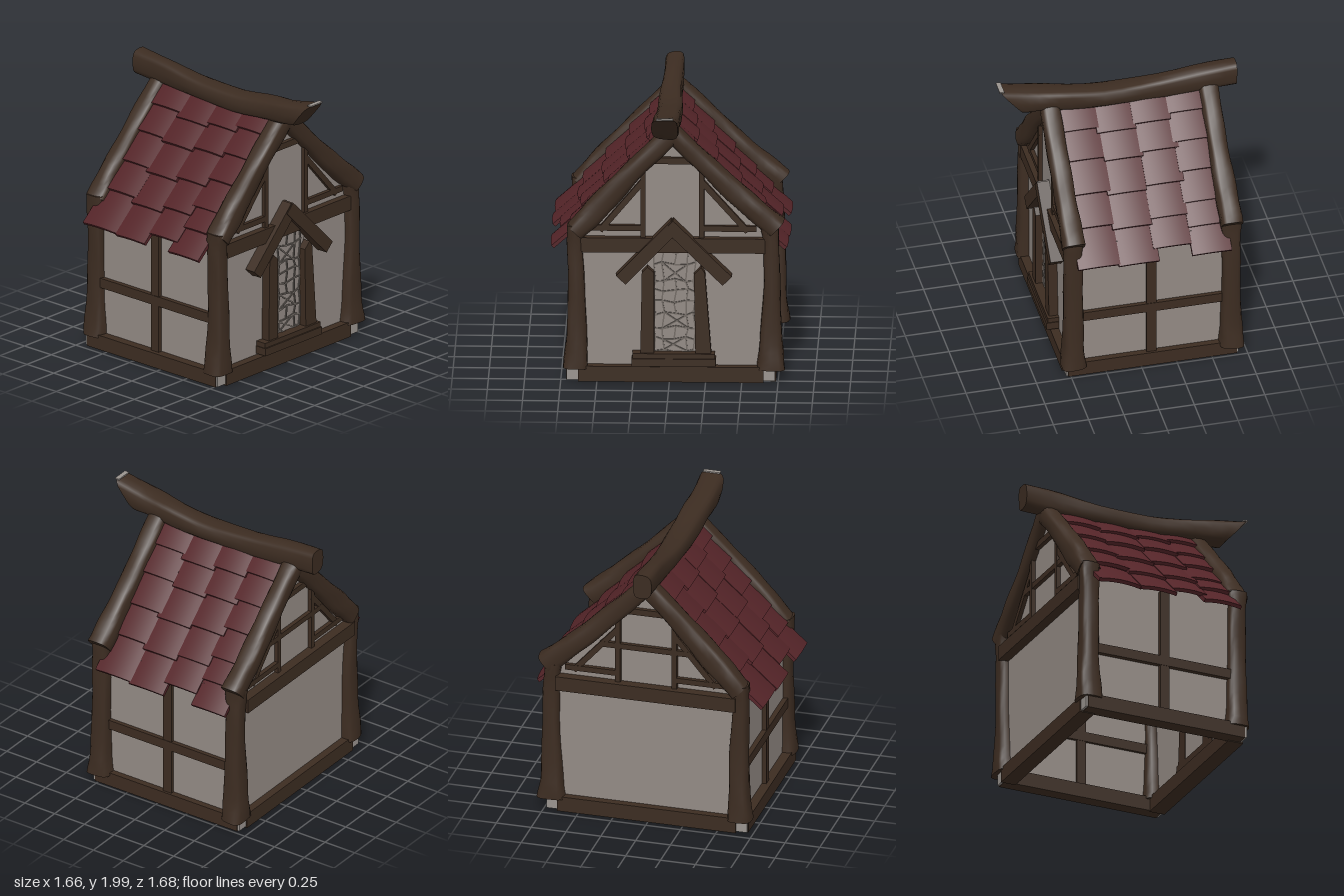
import * as THREE from 'three';
import { mergeVertices, toCreasedNormals } from 'three/addons/utils/BufferGeometryUtils.js';

const mat = (name, color, side = THREE.FrontSide) => {
  const m = new THREE.MeshStandardMaterial({ color, side });
  m.name = name;
  return m;
};

export function createModel() {
  const root = new THREE.Group();
  root.name = 'cottage';
  const wood = mat('dark timber', 0x3c2c21);
  const plaster = mat('plaster', 0x938a84, THREE.DoubleSide);
  const stone = mat('corner stone', 0x9a948f);
  const tileRed = mat('roof tile', 0x542428);
  const lead = mat('door lattice', 0x716a64);

  let seed = 7;
  const rand = () => (seed = (seed * 16807) % 2147483647) / 2147483647;

  const add = (name, geo, m, parent = root) => {
    const mesh = new THREE.Mesh(geo, m);
    mesh.name = name;
    parent.add(mesh);
    return mesh;
  };

  // Straight block between two corners
  const block = (name, x0, x1, y0, y1, z0, z1, m = wood) =>
    add(name, new THREE.BoxGeometry(x1 - x0, y1 - y0, z1 - z0), m)
      .position.set((x0 + x1) / 2, (y0 + y1) / 2, (z0 + z1) / 2);

  // Slanted bar in a plane facing z
  const strut = (name, a, b, width, z, depth, m = wood) => {
    const dx = b[0] - a[0], dy = b[1] - a[1];
    const s = add(name, new THREE.BoxGeometry(Math.hypot(dx, dy), width, depth), m);
    s.position.set((a[0] + b[0]) / 2, (a[1] + b[1]) / 2, z);
    s.rotation.z = Math.atan2(dy, dx);
  };

  // Rough hewn log: stations [x, y, z, radius along u, radius along v]
  const log = (name, pts, u, skew = 0) => {
    const centre = new THREE.CatmullRomCurve3(pts.map(p => new THREE.Vector3(p[0], p[1], p[2])));
    const radii = new THREE.CatmullRomCurve3(pts.map(p => new THREE.Vector3(p[3], p[4], 0)));
    const dir = centre.getPoint(1).sub(centre.getPoint(0)).normalize();
    const v = new THREE.Vector3().crossVectors(u, dir).normalize();
    let geo = new THREE.CylinderGeometry(1, 1, 1, 16, 16);
    const pos = geo.attributes.position, phase = rand() * 6;
    const square = c => Math.sign(c) * Math.abs(c) ** 0.6;
    for (let i = 0; i < pos.count; i++) {
      const x = pos.getX(i), z = pos.getZ(i), t = pos.getY(i) + 0.5;
      const r = radii.getPoint(t), a = Math.atan2(z, x);
      const k = 1 + 0.03 * Math.sin(2 * a + 9 * t + phase) + 0.035 * Math.sin(3 * a - 19 * t + phase);
      const p = centre.getPoint(t)
        .addScaledVector(u, square(x) * r.x * k)
        .addScaledVector(v, square(z) * r.y * k)
        .addScaledVector(dir, -square(z) * skew * Math.max(0, (t - 0.75) / 0.25) ** 2);
      pos.setXYZ(i, p.x, p.y, p.z);
    }
    geo.deleteAttribute('uv');
    geo.deleteAttribute('normal');
    geo = toCreasedNormals(mergeVertices(geo, 1e-4), 0.9);
    add(name, geo, wood);
  };

  const X = new THREE.Vector3(1, 0, 0), Z = new THREE.Vector3(0, 0, 1);
  const flat = points => new THREE.ShapeGeometry(new THREE.Shape(points.map(p => new THREE.Vector2(...p))));

  // Plaster walls, open at the bottom
  const gable = [[-0.65, 0.08], [0.69, 0.08], [0.69, 1.08], [0.02, 1.77], [-0.65, 1.08]];
  add('frontWall', flat(gable), plaster).position.z = 0.485;
  add('backWall', flat(gable), plaster).position.z = -0.645;
  for (const x of [-0.65, 0.69]) {
    const wall = add('sideWall', new THREE.PlaneGeometry(1.13, 1.0), plaster);
    wall.rotation.y = x > 0 ? Math.PI / 2 : -Math.PI / 2;
    wall.position.set(x, 0.58, -0.08);
  }

  // Sill beams and cross framing of the sides
  block('frontSill', -0.63, 0.65, 0.01, 0.12, 0.43, 0.545);
  block('backSill', -0.63, 0.65, 0.01, 0.12, -0.7, -0.59);
  for (const [x0, x1] of [[-0.715, -0.61], [0.64, 0.735]]) {
    block('sideSill', x0, x1, 0.015, 0.12, -0.675, 0.52);
    const o = x0 < 0 ? -0.685 : 0.67;
    block('sideRail', o, o + 0.05, 0.46, 0.53, -0.6, 0.43);
    block('sideStud', o + 0.003, o + 0.047, 0.12, 1.02, -0.11, -0.04);
  }

  // Corner stones and posts
  for (const z of [0.48, -0.64]) {
    block('cornerStone', -0.71, -0.62, 0.02, 0.12, z - 0.05, z + 0.055, stone);
    block('cornerStone', 0.64, 0.73, 0.02, 0.12, z - 0.05, z + 0.055, stone);
    log('cornerPost', [
      [-0.65, 0.1, z, 0.085, 0.085], [-0.64, 0.35, z, 0.068, 0.073],
      [-0.643, 0.7, z, 0.06, 0.064], [-0.655, 1.0, z, 0.053, 0.064], [-0.65, 1.13, z, 0.056, 0.074]], X);
    log('cornerPost', [
      [0.70, 0.1, z, 0.1, 0.086], [0.70, 0.28, z, 0.078, 0.073],
      [0.707, 0.7, z, 0.058, 0.064], [0.70, 1.0, z, 0.056, 0.064], [0.69, 1.13, z, 0.062, 0.074]], X);
    // Sloping gable logs
    log('gableLog', [
      [-0.65, 1.08, z, 0.078, 0.07], [-0.47, 1.275, z, 0.074, 0.08],
      [-0.22, 1.55, z, 0.068, 0.068], [0.03, 1.8, z, 0.07, 0.064]], Z);
    log('gableLog', [
      [0.74, 1.115, z, 0.078, 0.078], [0.53, 1.295, z, 0.074, 0.074],
      [0.27, 1.545, z, 0.068, 0.066], [0.01, 1.8, z, 0.07, 0.064]], Z);
  }

  // Tie beams and gable framing, front and back
  for (const [side, z, z0, z1] of [['front', 0.495, 0.45, 0.535], ['back', -0.655, -0.715, -0.61]]) {
    const h = 0.02;
    block(side + 'TieBeam', -0.63, 0.66, 0.94, 1.045, z0, z1);
    block(side + 'GableStud', -0.2, -0.165, 1.04, 1.53, z - h, z + h);
    block(side + 'GableStud', 0.205, 0.24, 1.04, 1.53, z - h, z + h);
    block(side + 'GableRail', -0.55, -0.19, 1.09, 1.13, z - h, z + h * 0.9);
    block(side + 'GableRail', 0.23, 0.6, 1.09, 1.13, z - h, z + h * 0.9);
    block(side + 'Collar', -0.15, 0.19, 1.575, 1.62, z - h, z + h);
    strut(side + 'Brace', [-0.48, 1.09], [-0.18, 1.45], 0.04, z, 0.036);
    strut(side + 'Brace', [0.54, 1.09], [0.22, 1.45], 0.04, z, 0.036);
  }
  block('backGableCrossRail', -0.3, 0.35, 1.3, 1.34, -0.674, -0.64);

  // Ridge log, sagging in the middle, with a slanted front end and pale cut tip
  log('ridgeLog', [
    [0, 1.88, -0.84, 0.068, 0.088], [0, 1.865, -0.6, 0.068, 0.085], [-0.01, 1.835, -0.25, 0.075, 0.072],
    [-0.01, 1.828, 0.1, 0.088, 0.068], [-0.015, 1.855, 0.4, 0.092, 0.074],
    [-0.025, 1.873, 0.58, 0.093, 0.078], [-0.025, 1.897, 0.75, 0.09, 0.098]], X, 0.085);
  block('ridgeTipCut', -0.085, 0.035, 1.988, 1.997, 0.805, 0.838, stone);

  // Bowed roof tiles: four columns, each with the heights of its lower edges
  const tile = (len, width) => {
    const g = new THREE.BoxGeometry(len, 0.026, width, 1, 1, 6);
    const p = g.attributes.position;
    for (let i = 0; i < p.count; i++) p.setY(i, p.getY(i) + 0.005 - 0.6 * p.getZ(i) ** 2);
    return toCreasedNormals(g, 0.6);
  };
  const columns = [
    [0.53, 0.24, [0.96, 1.17, 1.34, 1.515, 1.67]],
    [0.24, -0.02, [0.95, 1.14, 1.32, 1.495, 1.64]],
    [-0.02, -0.27, [1.015, 1.17, 1.34, 1.515, 1.66]],
    [-0.27, -0.53, [0.955, 1.1, 1.225, 1.385, 1.54, 1.69]]];
  const angle = 0.73;
  for (const side of [1, -1]) {
    const slope = new THREE.Group();
    slope.name = side > 0 ? 'leftRoofSlope' : 'rightRoofSlope';
    slope.position.z = -0.08;
    if (side < 0) slope.rotation.y = Math.PI;
    root.add(slope);
    for (const [z1, z0, heights] of columns) {
      for (const y of heights) {
        const x = 0.808 - (y - 0.96) * 0.92;
        const len = Math.min(0.29, (x - 0.01) / Math.cos(angle));
        const width = z1 - z0 + 0.01 + rand() * 0.02;
        const t = add('roofTile', tile(len, width), tileRed, slope);
        t.position.set(x - Math.cos(angle) * len / 2, y + Math.sin(angle) * len / 2 + rand() * 0.006,
          (z0 + z1) / 2 + (rand() - 0.5) * 0.03);
        t.rotation.z = -angle;
      }
    }
  }

  // Door panel with an irregular lattice
  add('doorPanel', flat([[-0.11, 0.2], [0.18, 0.2], [0.18, 0.76], [0.24, 0.9], [0.1, 1.04],
    [-0.06, 1.04], [-0.18, 0.9], [-0.11, 0.76]]), plaster).position.z = 0.495;
  const bar = (a, b) => strut('doorLattice', a, b, 0.01, 0.498, 0.008, lead);
  const rows = [0.22, 0.31, 0.39, 0.49, 0.58, 0.66, 0.73, 0.85, 0.94];
  const cols = [-0.105, -0.045, 0.04, 0.12, 0.172];
  const node = (c, r) => [cols[c] + 0.01 * Math.sin(r * 2.3 + c), rows[r] + 0.012 * Math.sin(c * 2.1 + r * 1.7)];
  const crossed = [0, 2, 6];
  for (let r = 0; r < rows.length; r++) {
    for (let c = 0; c < cols.length; c++) {
      if (c < 4) bar(node(c, r), node(c + 1, r));
      if (r < 8 && (c !== 2 || !crossed.includes(r))) bar(node(c, r), node(c, r + 1));
    }
  }
  for (const r of crossed) {
    bar(node(1, r), node(3, r + 1));
    bar(node(3, r), node(1, r + 1));
  }

  // Door frame, step and small porch gable
  const jamb = points => {
    const shape = new THREE.Shape(points.map(p => new THREE.Vector2(...p)));
    add('doorJamb', new THREE.ExtrudeGeometry(shape, { depth: 0.07, bevelEnabled: false }), wood).position.z = 0.48;
  };
  jamb([[-0.2, 0.2], [-0.105, 0.2], [-0.105, 0.8], [-0.15, 0.84], [-0.19, 0.8]]);
  jamb([[0.18, 0.2], [0.29, 0.2], [0.245, 0.8], [0.22, 0.84], [0.17, 0.79]]);
  block('doorStep', -0.26, 0.32, 0.13, 0.185, 0.48, 0.575);
  block('doorStepTop', -0.255, 0.315, 0.18, 0.22, 0.48, 0.565);
  strut('porchBeam', [0.045, 1.15], [-0.335, 0.75], 0.09, 0.525, 0.085);
  strut('porchBeam', [-0.005, 1.15], [0.4, 0.75], 0.09, 0.528, 0.089);

  return root;
}
